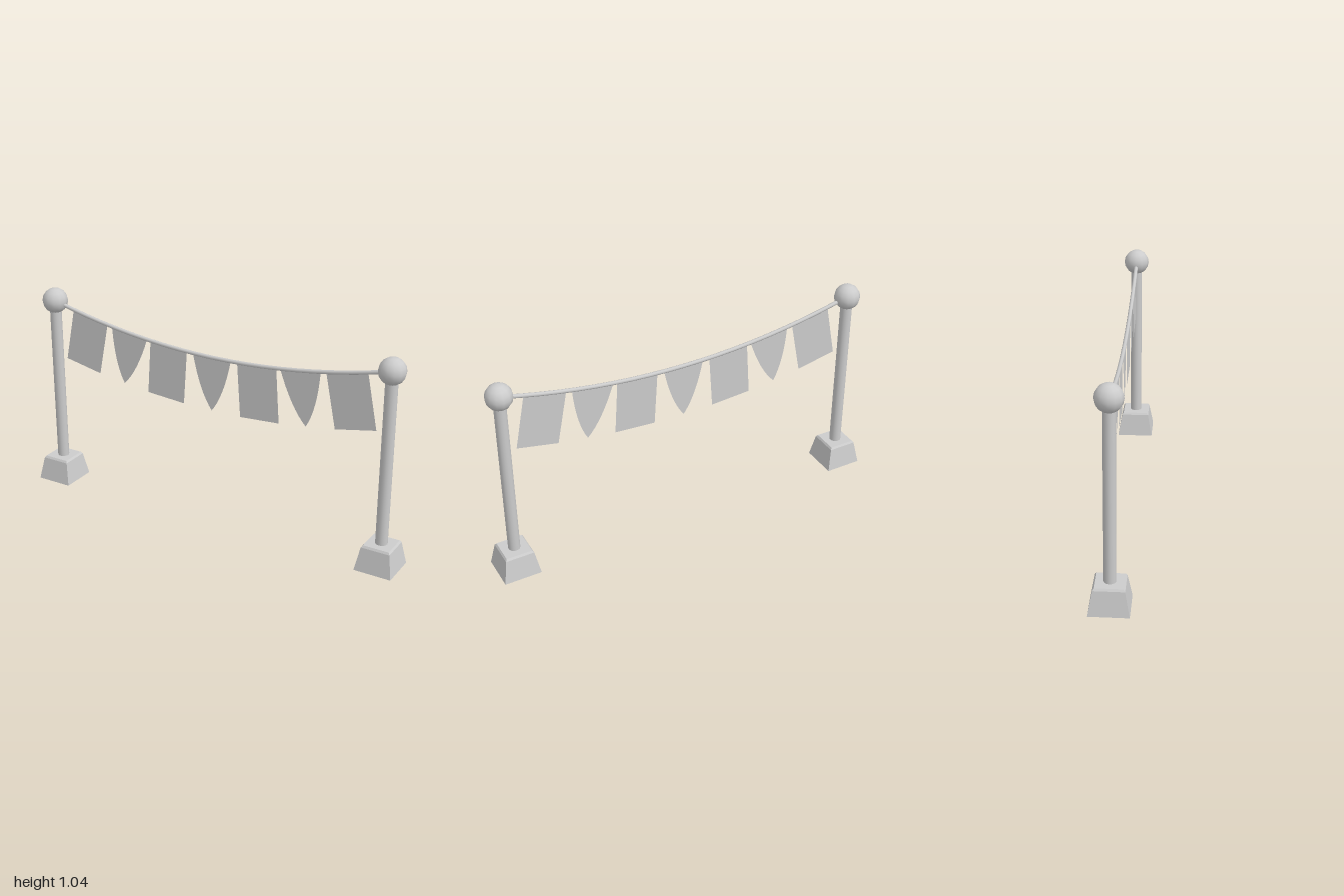
import * as THREE from 'three';

const grey = new THREE.MeshStandardMaterial({ color: 0xcccccc, side: THREE.DoubleSide });
grey.name = 'plain grey';

const POST_X = 0.908;
const ropeY = (x) => 0.855 + 0.145 * x * x;

function add(parent, name, geometry, x = 0, y = 0) {
  const mesh = new THREE.Mesh(geometry, grey);
  mesh.name = name;
  mesh.position.set(x, y, 0);
  parent.add(mesh);
  return mesh;
}

// Hollow four-sided foot, open underneath, with a small bevel at the top
function footGeometry() {
  const profile = [[0.092, 0], [0.071, 0.115], [0.064, 0.125], [0, 0.125]]
    .map(([half, y]) => new THREE.Vector2(half * Math.SQRT2, y));
  const geometry = new THREE.LatheGeometry(profile, 4, Math.PI / 4).toNonIndexed();
  geometry.computeVertexNormals();
  return geometry;
}

// Flag outlines hang down from the rope at the local origin
function squareFlag() {
  const s = new THREE.Shape();
  s.moveTo(-0.103, 0);
  s.lineTo(-0.103, -0.272);
  s.lineTo(0.103, -0.272);
  s.lineTo(0.103, 0);
  return new THREE.ShapeGeometry(s);
}

function pointedFlag() {
  const s = new THREE.Shape();
  s.moveTo(0.103, 0);
  s.lineTo(-0.103, 0);
  s.quadraticCurveTo(-0.066, -0.187, 0, -0.272);
  s.quadraticCurveTo(0.066, -0.187, 0.103, 0);
  return new THREE.ShapeGeometry(s, 8);
}

export function createModel() {
  const model = new THREE.Group();
  model.name = 'bunting';

  // Posts with feet and ball tops
  for (const side of [-1, 1]) {
    const post = new THREE.Group();
    post.name = side > 0 ? 'leftPost' : 'rightPost';
    post.position.x = side * POST_X;
    add(post, 'foot', footGeometry());
    add(post, 'pole', new THREE.CylinderGeometry(0.029, 0.029, 0.82, 16, 1, true), 0, 0.53);
    add(post, 'ball', new THREE.SphereGeometry(0.064, 12, 8), 0, 0.977);
    model.add(post);
  }

  // Sagging rope
  const points = [];
  for (let i = 0; i <= 14; i++) {
    const x = -0.9 + (1.8 * i) / 14;
    points.push(new THREE.Vector3(x, ropeY(x), 0));
  }
  add(model, 'rope', new THREE.TubeGeometry(new THREE.CatmullRomCurve3(points), 20, 0.01, 8));

  // Alternating flags, each square to the rope
  [-0.695, -0.465, -0.24, 0, 0.24, 0.465, 0.695].forEach((x, i) => {
    const square = i % 2 === 0;
    const flag = add(model, square ? 'squareFlag' : 'pointedFlag',
      square ? squareFlag() : pointedFlag(), x, ropeY(x));
    flag.rotation.z = Math.atan(0.29 * x);
  });

  return model;
}
